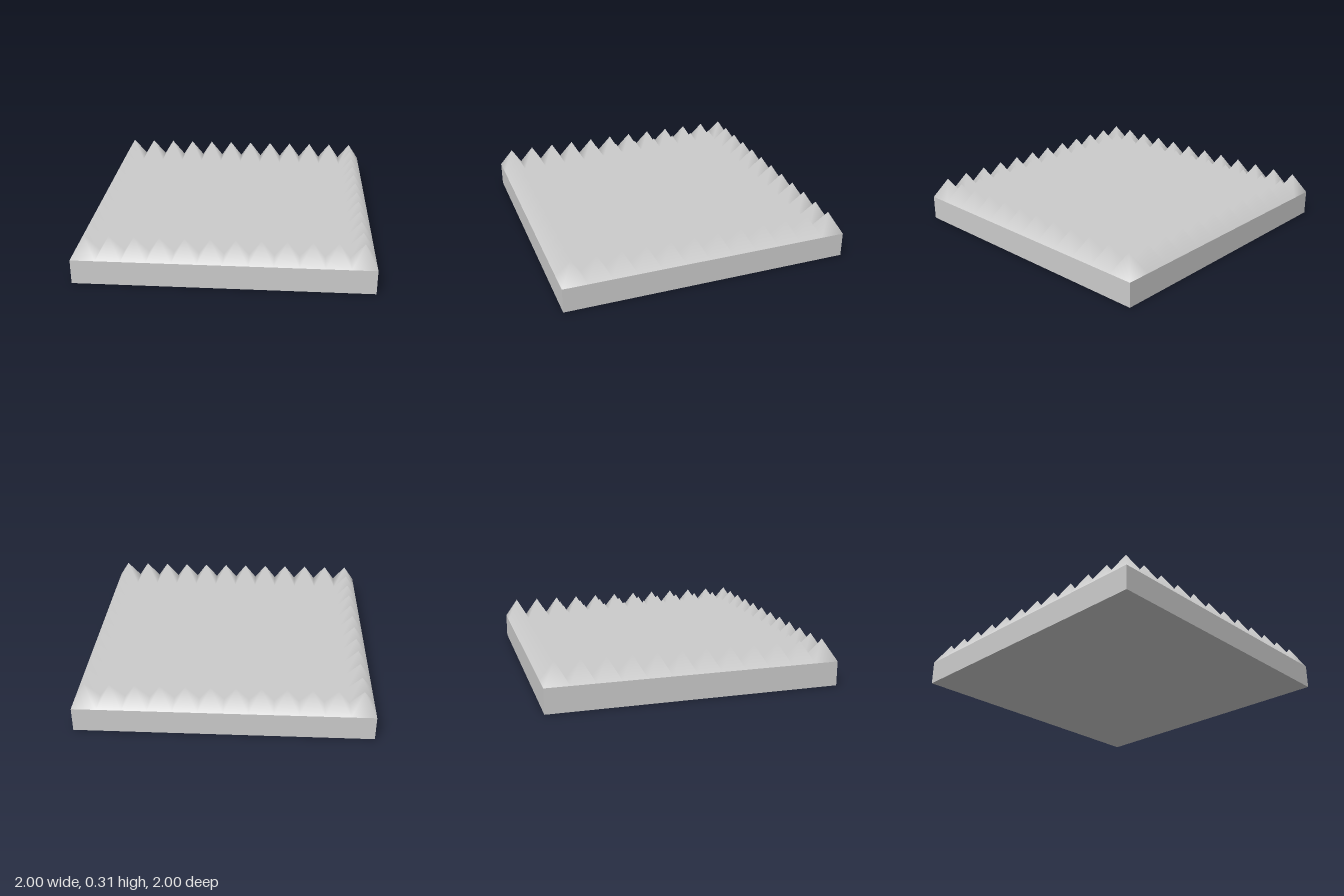
import * as THREE from 'three';

const SIZE = 2;       // side of the square tile
const BASE = 0.17;    // slab height, where the valleys lie
const PEAK = 0.315;   // height of the pyramid tips
const COUNT = 12;     // pyramids per side

// One welded sheet of square pyramids, with shared smooth normals
function pyramidSheet() {
  const pitch = SIZE / COUNT;
  const positions = [];
  const index = [];
  const addGrid = (n, offset, y) => {
    for (let j = 0; j < n; j++) {
      for (let i = 0; i < n; i++) {
        positions.push(-SIZE / 2 + (i + offset) * pitch, y, -SIZE / 2 + (j + offset) * pitch);
      }
    }
  };
  const row = COUNT + 1;
  addGrid(row, 0, BASE);      // valley corners
  addGrid(COUNT, 0.5, PEAK);  // tips

  for (let j = 0; j < COUNT; j++) {
    for (let i = 0; i < COUNT; i++) {
      const a = j * row + i;
      const ring = [a, a + row, a + row + 1, a + 1];
      const tip = row * row + j * COUNT + i;
      ring.forEach((v, k) => index.push(v, ring[(k + 1) % 4], tip));
    }
  }

  const geometry = new THREE.BufferGeometry();
  geometry.setAttribute('position', new THREE.Float32BufferAttribute(positions, 3));
  geometry.setIndex(index);
  geometry.computeVertexNormals();
  return geometry;
}

// Slab with its top face left out, since the pyramids close it
function openSlab() {
  const geometry = new THREE.BoxGeometry(SIZE, BASE, SIZE);
  geometry.translate(0, BASE / 2, 0);
  const index = Array.from(geometry.index.array);
  index.splice(12, 6);
  geometry.setIndex(index);
  geometry.clearGroups();
  return geometry;
}

export function createModel() {
  const group = new THREE.Group();
  group.name = 'pyramidFoamTile';
  const material = new THREE.MeshStandardMaterial({ color: 0xcccccc });

  const slab = new THREE.Mesh(openSlab(), material);
  slab.name = 'baseSlab';

  const pyramids = new THREE.Mesh(pyramidSheet(), material);
  pyramids.name = 'pyramids';

  group.add(slab, pyramids);
  return group;
}
